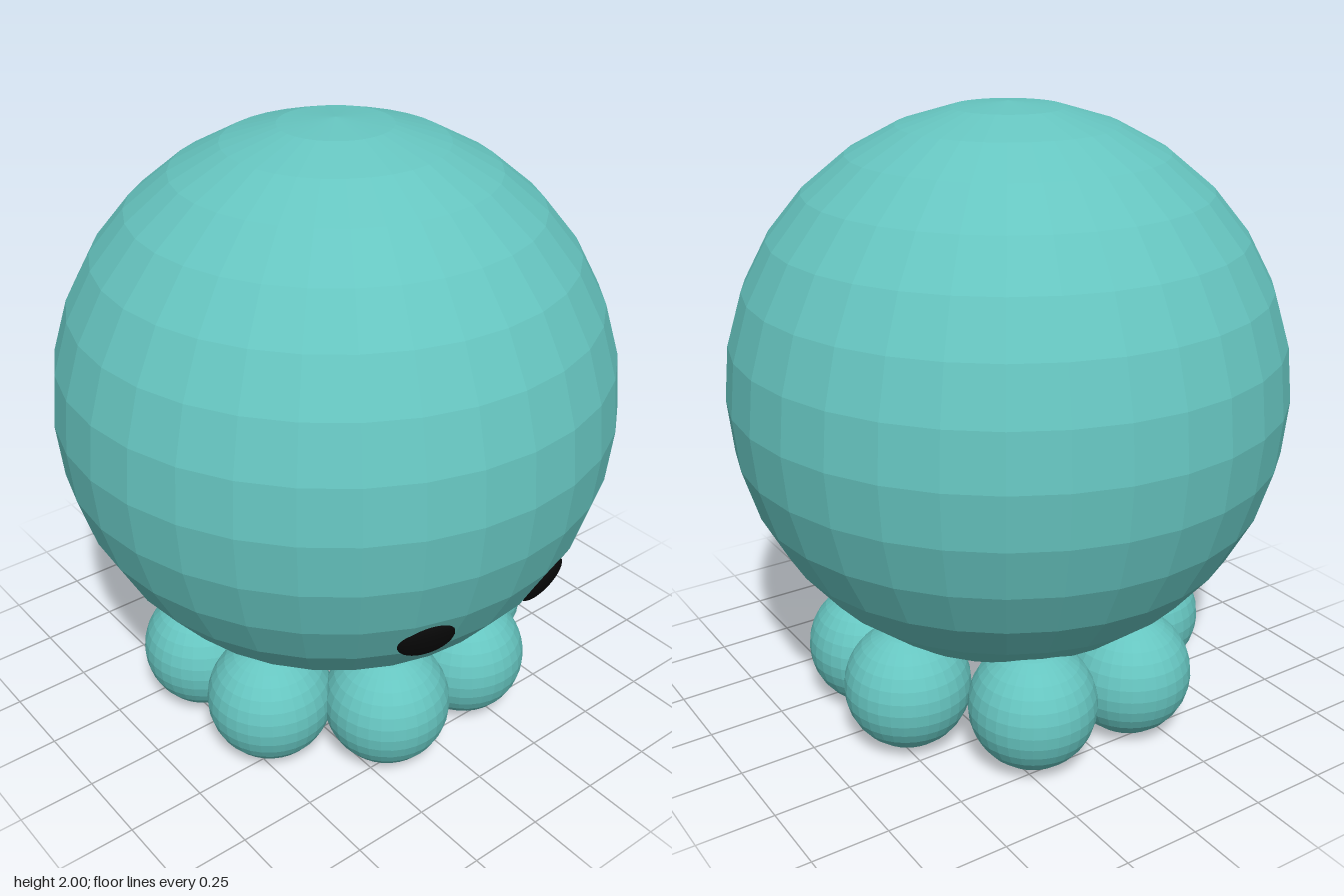
import * as THREE from 'three';

export function createModel() {
  const model = new THREE.Group();
  model.name = 'octopus';
  const skin = new THREE.MeshStandardMaterial({ color: 0x66c5c0, flatShading: true });
  const black = new THREE.MeshStandardMaterial({ color: 0x080808 });

  const add = (name, geometry, material) => {
    const mesh = new THREE.Mesh(geometry, material);
    mesh.name = name;
    model.add(mesh);
    return mesh;
  };

  // Large faceted head
  const headRadius = 0.893;
  const headCentre = new THREE.Vector3(0, 2 - headRadius, 0);
  add('head', new THREE.SphereGeometry(headRadius, 32, 16), skin).position.copy(headCentre);

  // Shallow domed eyes, set low on the head and facing outward
  const eyeGeometry = new THREE.SphereGeometry(0.09, 24, 16);
  for (const side of [1, -1]) {
    const outward = new THREE.Vector3(side * 0.24, -0.445, 0.73).normalize();
    const eye = add(side > 0 ? 'leftEye' : 'rightEye', eyeGeometry, black);
    eye.position.copy(headCentre).addScaledVector(outward, 0.882);
    eye.quaternion.setFromUnitVectors(new THREE.Vector3(0, 0, 1), outward);
    eye.scale.z = 0.35;
  }

  // Slightly uneven ring of ball feet, angles in degrees from the front
  const footRadius = 0.205, ringRadius = 0.475;
  const footGeometry = new THREE.SphereGeometry(footRadius, 32, 16);
  [27, 67, 104, 156, 202, 251, 295, 342].forEach((degrees, i) => {
    const a = THREE.MathUtils.degToRad(degrees);
    add(`foot${i + 1}`, footGeometry, skin)
      .position.set(ringRadius * Math.sin(a), footRadius, ringRadius * Math.cos(a));
  });

  return model;
}
